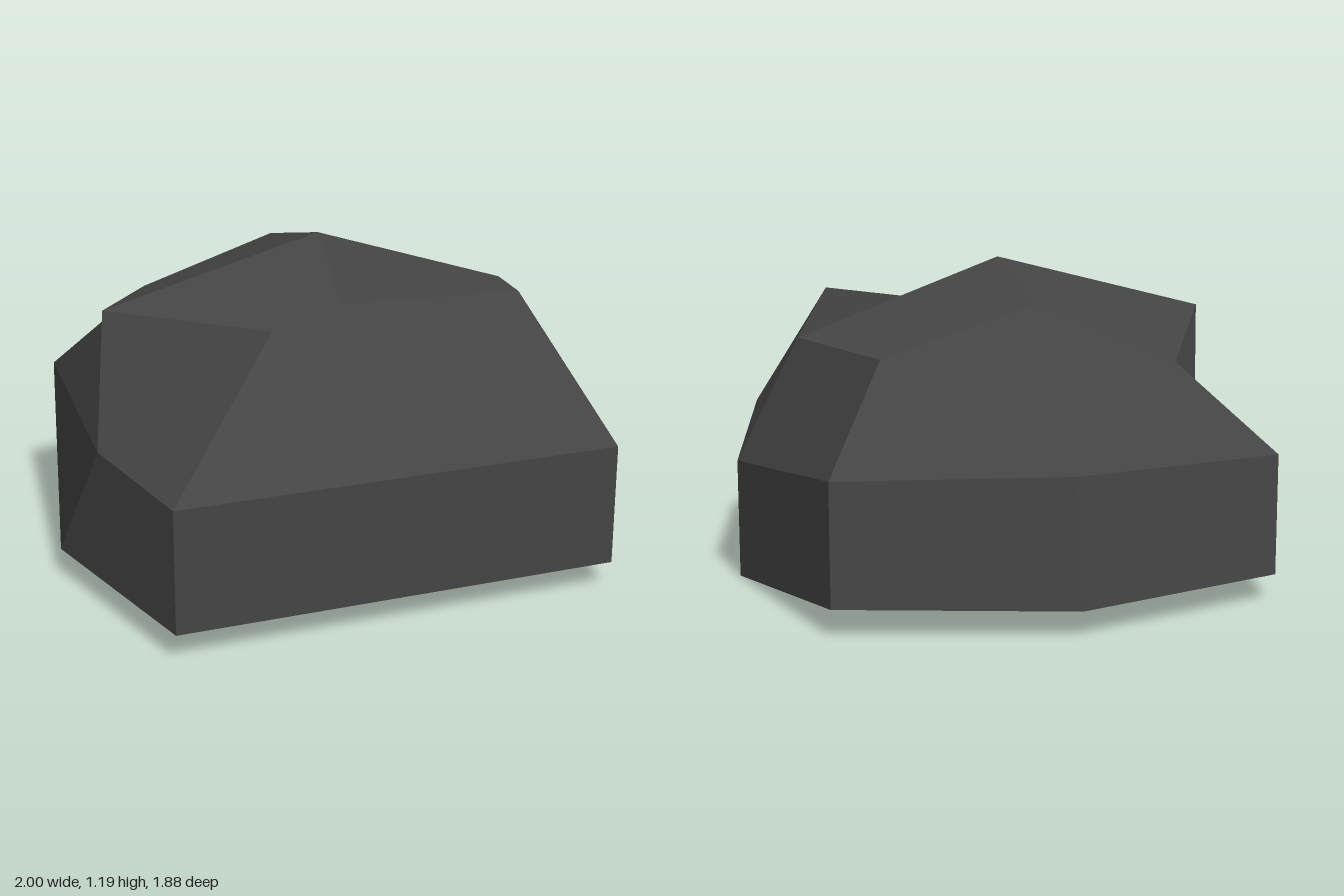
import * as THREE from 'three';

// Rings of eight points: front, front-left, left, back-left, back, back-right, right, front-right
const ring = (rows) => rows.map((p) => new THREE.Vector3(...p));
const base = ring([
  [0, 0.098, 0.94], [0.813, 0.098, 0.94], [1, 0, 0.18], [0.813, 0.098, -0.687],
  [0, 0.098, -0.94], [-0.813, 0.098, -0.687], [-1, 0.098, 0.125], [-0.813, 0.098, 0.94],
]);
const middle = ring([
  [0, 0.54, 0.94], [0.813, 0.54, 0.94], [1, 0.447, 0.18], [0.813, 0.54, -0.687],
  [0, 0.54, -0.843], [-0.813, 0.54, -0.687], [-0.905, 0.54, 0.345], [-0.813, 0.54, 0.94],
]);
const shoulder = ring([
  [0, 0.982, 0.353], [0.575, 1.04, 0.603], [0.787, 0.925, 0.033], [0.588, 0.91, -0.48],
  [0, 1.07, -0.382], [-0.475, 0.865, -0.53], [-0.813, 0.982, 0.125], [-0.34, 0.982, 0.573],
]);
const peak = new THREE.Vector3(0, 1.193, 0.125);
const underside = new THREE.Vector3(0, 0.098, 0);

// Collects four-sided facets, each with one flat normal
function facetBuilder() {
  const positions = [];
  const normals = [];
  return {
    // The fold runs from a to c
    quad(a, b, c, d) {
      const n = c.clone().sub(a).cross(d.clone().sub(b)).normalize();
      for (const p of [a, b, c, a, c, d]) {
        positions.push(p.x, p.y, p.z);
        normals.push(n.x, n.y, n.z);
      }
    },
    mesh(name, material) {
      const geometry = new THREE.BufferGeometry();
      geometry.setAttribute('position', new THREE.Float32BufferAttribute(positions, 3));
      geometry.setAttribute('normal', new THREE.Float32BufferAttribute(normals, 3));
      const mesh = new THREE.Mesh(geometry, material);
      mesh.name = name;
      return mesh;
    },
  };
}

export function createModel() {
  const group = new THREE.Group();
  group.name = 'rock';
  const stone = new THREE.MeshStandardMaterial({ color: 0x444444 });
  stone.name = 'dark stone';

  const sides = facetBuilder();
  const slopes = facetBuilder();
  const crown = facetBuilder();
  const bottom = facetBuilder();

  // Upright lower band and sloping upper band
  for (let i = 0; i < 8; i++) {
    const j = (i + 1) % 8;
    sides.quad(base[j], middle[j], middle[i], base[i]);
    slopes.quad(middle[j], shoulder[j], shoulder[i], middle[i]);
  }

  // Four facets around the peak and four beneath, folds all running the same way
  for (let i = 1; i < 8; i += 2) {
    const prev = i - 1;
    const next = (i + 1) % 8;
    if (i === 1 || i === 5) {
      crown.quad(shoulder[prev], shoulder[i], shoulder[next], peak);
      bottom.quad(underside, base[next], base[i], base[prev]);
    } else {
      crown.quad(peak, shoulder[prev], shoulder[i], shoulder[next]);
      bottom.quad(base[next], base[i], base[prev], underside);
    }
  }

  group.add(
    sides.mesh('rockSides', stone),
    slopes.mesh('rockSlopes', stone),
    crown.mesh('rockCrown', stone),
    bottom.mesh('rockUnderside', stone),
  );
  return group;
}
